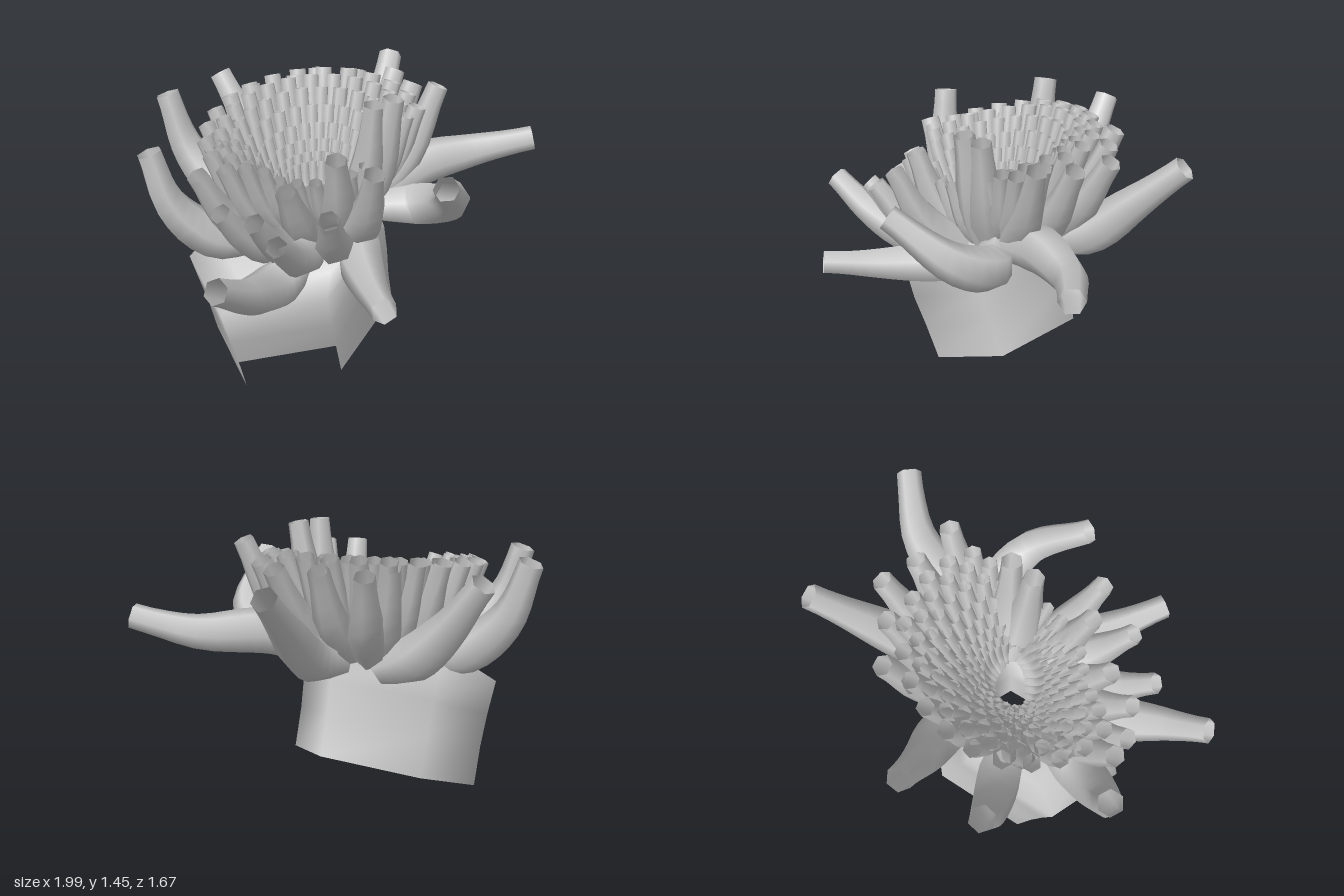
import * as THREE from 'three';

const V = (x, y, z) => new THREE.Vector3(x, y, z);
const material = new THREE.MeshStandardMaterial({ color: 0xcccccc, side: THREE.DoubleSide });
const MOUTH = V(-0.17, 0, -0.05);

// Height of the tilted disc that the tentacles grow from
const discY = (x, z) => 0.81 + 0.24 * (x + 0.17) - 0.16 * (z + 0.05);

// Open six-sided tube along the points: swells near its root, narrows to the tip
function tentacle(name, points, rootR, tipR, segments) {
  const curve = new THREE.CatmullRomCurve3(points);
  const geo = new THREE.TubeGeometry(curve, segments, 1, 6);
  const pos = geo.attributes.position, nor = geo.attributes.normal;
  for (let i = 0; i < pos.count; i++) {
    const t = Math.floor(i / 7) / segments;
    const swell = t < 0.25 ? 0.75 + t : 1;
    const r = THREE.MathUtils.lerp(rootR, tipR, THREE.MathUtils.smoothstep(t, 0.25, 1)) * swell;
    const p = curve.getPointAt(t);
    pos.setXYZ(i, p.x + nor.getX(i) * r, p.y + nor.getY(i) * r, p.z + nor.getZ(i) * r);
  }
  const mesh = new THREE.Mesh(geo, material);
  mesh.name = name;
  return mesh;
}

// Six-sided leaning column, rounded shoulder, mouth and hanging throat in one skin
function column() {
  const corners = [V(0.01, -0.11, 0.4), V(0.4, 0.09, 0.21), V(0.41, 0.21, -0.18),
    V(-0.01, 0.12, -0.4), V(-0.41, -0.09, -0.21), V(-0.41, -0.21, 0.18)];
  // centre x, y, z, scale, flattening of the tilt
  const rings = [
    [-0.2, 0.21, -0.13, 1, 1], [-0.25, 0.4, -0.085, 1, 1],
    [-0.29, 0.56, -0.05, 1.02, 1], [-0.33, 0.72, -0.03, 1.04, 0.9],
    [-0.27, 0.79, -0.04, 0.88, 0.8], [-0.2, 0.82, -0.05, 0.6, 0.6],
    [-0.17, 0.82, -0.05, 0.32, 0.5], [-0.18, 0.66, -0.05, 0.25, 0.5],
    [-0.19, 0.5, -0.06, 0.24, 0.5],
  ];
  const pos = [], index = [];
  rings.forEach(([x, y, z, s, tilt], i) => corners.forEach((c, j) => {
    pos.push(x + c.x * s, y + c.y * s * tilt, z + c.z * s);
    if (i === rings.length - 1 || (i === 0 && j === 5)) return; // one panel missing at the foot
    const a = i * 6 + j, b = i * 6 + (j + 1) % 6;
    index.push(a, b, b + 6, a, b + 6, a + 6);
  }));
  const geo = new THREE.BufferGeometry();
  geo.setAttribute('position', new THREE.Float32BufferAttribute(pos, 3));
  geo.setIndex(index);
  geo.computeVertexNormals();
  const mesh = new THREE.Mesh(geo, material);
  mesh.name = 'column';
  return mesh;
}

// Long tentacles with their own bends: points from root to tip
function longTentacles() {
  const group = new THREE.Group();
  group.name = 'longTentacles';
  const paths = [
    [[-0.12, 0.82, -0.3], [-0.18, 0.92, -0.48], [-0.27, 1.1, -0.63], [-0.35, 1.34, -0.78]],
    [[-0.38, 0.8, -0.24], [-0.52, 0.9, -0.4], [-0.63, 1.08, -0.53], [-0.69, 1.35, -0.6]],
    [[-0.46, 0.78, -0.05], [-0.71, 0.85, -0.05], [-0.87, 1.02, -0.08], [-0.94, 1.28, -0.12]],
    [[-0.36, 0.72, 0.18], [-0.54, 0.69, 0.28], [-0.73, 0.78, 0.43], [-0.9, 0.91, 0.54]],
    [[0, 0.77, 0.1], [-0.1, 0.74, 0.29], [-0.19, 0.75, 0.56], [-0.26, 0.785, 0.82]],
    [[0.12, 0.86, 0.08], [0.28, 0.88, 0.19], [0.32, 0.98, 0.39], [0.15, 1.18, 0.62]],
    [[0.12, 0.89, 0.02], [0.38, 0.98, -0.02], [0.68, 1.005, 0.0], [0.84, 1.04, 0.07], [0.965, 1.075, 0.14]],
    [[0.08, 0.85, -0.2], [0.28, 0.95, -0.34], [0.42, 1.13, -0.48], [0.57, 1.34, -0.64]],
  ];
  for (const p of paths) group.add(tentacle('longTentacle', p.map((q) => V(...q)), 0.112, 0.06, 12));
  return group;
}

// Tentacle that leaves the disc outwards and then bends up to its tip
function risingTentacle(name, tip, rootR, tipR) {
  const out = tip.clone().sub(MOUTH).setY(0);
  const reach = out.length();
  out.normalize();
  const root = MOUTH.clone().addScaledVector(out, Math.min(0.08 + 0.1 * reach + 0.3 * reach * reach, 0.26));
  root.x += 0.08 * Math.max(0, out.z);
  root.y = discY(root.x, root.z);
  const mid = root.clone().lerp(tip, 0.48).addScaledVector(out, reach * 0.07);
  mid.y -= 0.03;
  return tentacle(name, [root, mid, tip], rootR, tipR, 7);
}

// Outer tentacles at the edge of the crown
function outerTentacles() {
  const group = new THREE.Group();
  group.name = 'outerTentacles';
  const tips = [
    [0.43, 1.37, -0.34], [0.43, 1.36, -0.16], [0.45, 1.41, 0.04], [0.1, 1.36, -0.56],
    [-0.05, 1.37, -0.5], [0.26, 1.37, -0.43], [0.14, 1.44, 0.16], [0.02, 1.44, 0.19],
    [-0.13, 1.25, 0.48], [-0.36, 1.09, 0.5], [-0.59, 1.0, 0.46], [-0.62, 1.04, 0.29],
    [-0.73, 1.06, 0.17], [-0.78, 1.2, 0.04], [-0.24, 1.28, 0.33], [-0.56, 1.25, -0.3],
    [-0.3, 1.36, -0.49], [-0.64, 1.25, -0.13], [-0.46, 1.15, 0.28],
  ];
  for (const t of tips) group.add(risingTentacle('outerTentacle', V(...t), 0.095, 0.05));
  return group;
}

// Staggered rings of ever smaller tentacles around the mouth
function innerTentacles() {
  const group = new THREE.Group();
  group.name = 'innerTentacles';
  const rings = [0.47, 0.41, 0.355, 0.305, 0.26, 0.22, 0.185, 0.155];
  const count = 24;
  rings.forEach((r, k) => {
    for (let i = 0; i < count; i++) {
      const a = ((i + (k % 2) / 2) / count) * Math.PI * 2;
      const dx = Math.cos(a) * r * 1.08, dz = Math.sin(a) * r;
      if (k < 3 && dz > 0.2) continue; // the front edge is sparser
      const y = 0.98 + 0.32 * THREE.MathUtils.smoothstep(r, 0.1, 0.42) + 0.12 * dx - 0.18 * dz;
      const tip = V(MOUTH.x + dx, y, MOUTH.z + dz);
      const tipR = 0.01 + r * 0.07;
      group.add(risingTentacle('innerTentacle', tip, tipR * 1.5, tipR));
    }
  });
  return group;
}

export function createModel() {
  const model = new THREE.Group();
  model.name = 'seaAnemone';
  model.add(column(), longTentacles(), outerTentacles(), innerTentacles());
  return model;
}
